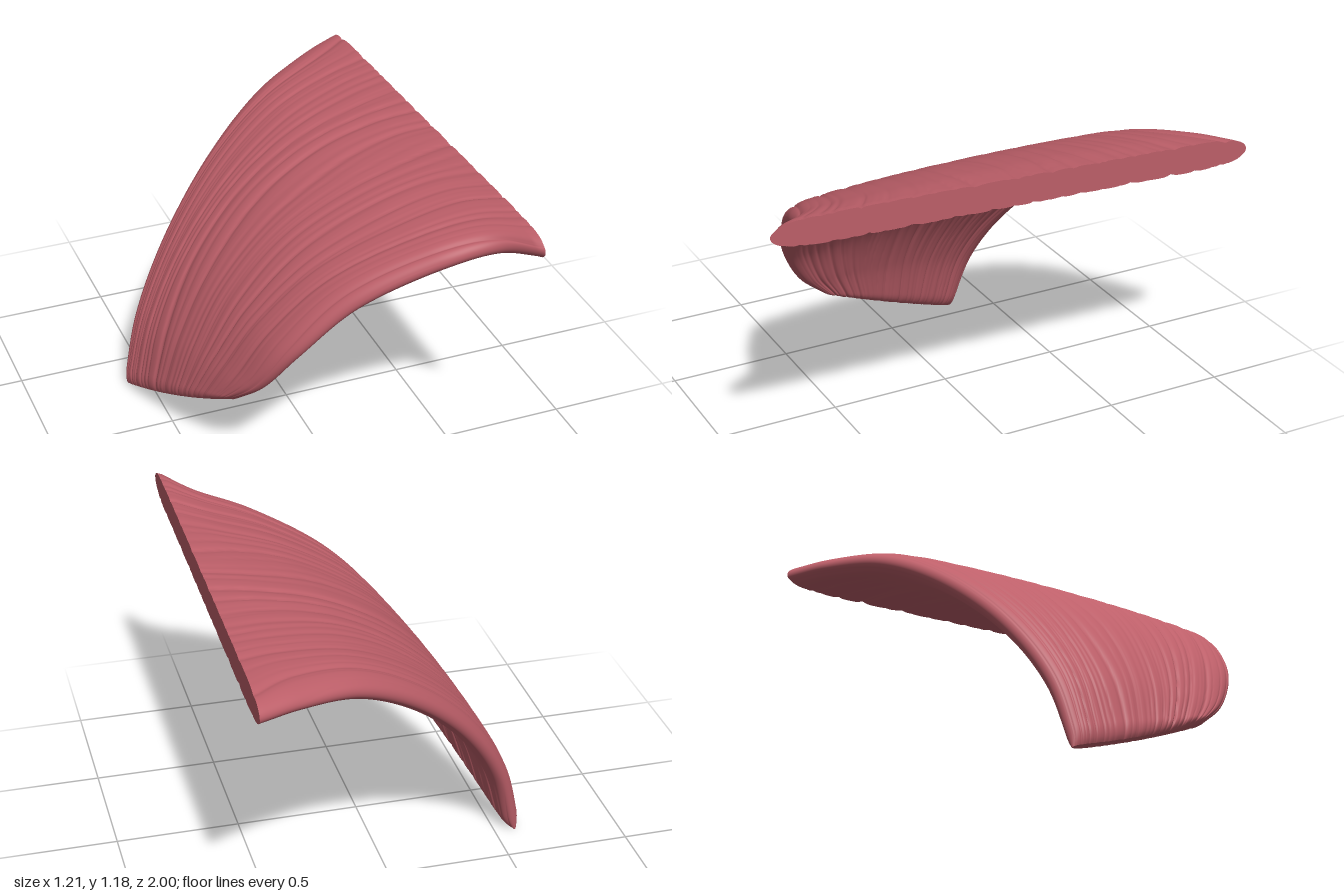
import * as THREE from 'three';

const V = (p) => new THREE.Vector3(...p);
const fibre = (pts) => new THREE.CatmullRomCurve3(pts.map(V), false, 'centripetal');

// Three guide fibres, each from the wide straight end down to the narrow lower end
const front = fibre([[0.61, 1.165, 1], [0.5, 1.13, 0.87], [0.3, 1.06, 0.8], [0, 0.89, 0.7],
  [-0.2, 0.67, 0.62], [-0.3, 0.48, 0.51], [-0.37, 0.36, 0.38]]);
const middle = fibre([[0.61, 1.135, 0], [0.45, 1.115, 0], [0.2, 1.045, 0.01], [-0.06, 0.895, 0.02],
  [-0.27, 0.68, 0.04], [-0.41, 0.43, 0.05], [-0.49, 0.18, 0.03]]);
const back = fibre([[0.61, 1.105, -1], [0.45, 1.09, -0.92], [0.2, 1.03, -0.79], [-0.06, 0.87, -0.65],
  [-0.32, 0.61, -0.5], [-0.5, 0.32, -0.39], [-0.585, 0.03, -0.33]]);

const ROWS = 80, COLS = 240, RING = COLS * 2;

// Centre surface: u runs along the fibres, s across them from back (-1) to front (1)
function centre(u, s) {
  return back.getPoint(u).multiplyScalar(s * (s - 1) / 2)
    .addScaledVector(middle.getPoint(u), 1 - s * s)
    .addScaledVector(front.getPoint(u), s * (s + 1) / 2);
}

// Narrow grooves between fibre bundles, wandering gently along their length
function grooves(u, s, side) {
  const w = s + 0.03 * Math.sin(4 * u + 5 * s + side) + 0.012 * Math.sin(9 * u + 11 * s);
  let g = 0;
  [[17, 0.4, 0.009], [29, 1.7, 0.007], [47, 2.9, 0.004]].forEach(([f, phase, depth], k) => {
    const fade = 0.55 + 0.45 * Math.sin(3 * u + 7 * s + k * 2 + side);
    g += depth * fade * Math.pow(1 - Math.abs(Math.sin(f * w + phase + side * 2)), 3);
  });
  return g;
}

function surfacePoint(u, s, side) {
  const a = Math.max(0, u - 0.004), b = Math.min(1, u + 0.004);
  const du = centre(b, s).sub(centre(a, s));
  const ds = centre(u, Math.min(1, s + 0.01)).sub(centre(u, Math.max(-1, s - 0.01)));
  const normal = du.cross(ds).normalize();
  const rim = Math.sqrt(Math.max(0, 1 - Math.pow(Math.abs(s), 14)));
  const tip = u > 0.96 ? Math.sqrt(1 - 0.85 * ((u - 0.96) / 0.04) ** 2) : 1;
  const half = (0.058 - 0.018 * u * u - grooves(u, s, side)) * rim * tip;
  const p = centre(u, s).addScaledVector(normal, side * half);
  if (u === 0) p.x = 0.61;
  return p;
}

// One closed cross-section: across the upper face, then back along the lower face
function ring(u) {
  const points = [];
  for (let j = 0; j < RING; j++) {
    const upper = j <= COLS;
    const t = (upper ? j : RING - j) / COLS;
    points.push(surfacePoint(u, Math.sin((t - 0.5) * Math.PI), upper ? 1 : -1));
  }
  return points;
}

function geometryFrom(points, index) {
  const g = new THREE.BufferGeometry().setFromPoints(points);
  g.setIndex(index);
  g.computeVertexNormals();
  return g;
}

// Flat cap joining the upper and lower halves of a ring
function cap(points, flip) {
  const index = [];
  for (let j = 0; j < COLS; j++) {
    const t0 = j, t1 = j + 1, b0 = (RING - j) % RING, b1 = RING - j - 1;
    const tris = [[b0, t0, t1], [b0, t1, b1]];
    for (const [a, b, c] of tris) {
      if (a === b || b === c || a === c) continue;
      index.push(...(flip ? [a, c, b] : [a, b, c]));
    }
  }
  return geometryFrom(points, index);
}

export function createModel() {
  const group = new THREE.Group();
  group.name = 'muscleSheet';
  const red = new THREE.MeshStandardMaterial({ color: 0xbd5f69 });
  red.name = 'muscle red';

  const rings = [];
  for (let i = 0; i <= ROWS; i++) rings.push(ring(1 - Math.pow(1 - i / ROWS, 1.25)));

  // Fibrous sheet skin
  const index = [];
  for (let i = 0; i < ROWS; i++) {
    for (let j = 0; j < RING; j++) {
      const k = (j + 1) % RING;
      const a = i * RING + j, b = a + RING, c = i * RING + k, d = c + RING;
      index.push(a, b, c, b, d, c);
    }
  }

  const add = (name, geometry) => {
    const mesh = new THREE.Mesh(geometry, red);
    mesh.name = name;
    group.add(mesh);
  };
  add('fibreSheet', geometryFrom(rings.flat(), index));
  add('wideEndFace', cap(rings[0], false));
  add('lowerEndFace', cap(rings[ROWS], true));

  // Stand the lowest point on the ground
  const lowest = new THREE.Box3().setFromObject(group).min.y;
  group.children.forEach((m) => m.geometry.translate(0, -lowest, 0));
  return group;
}
